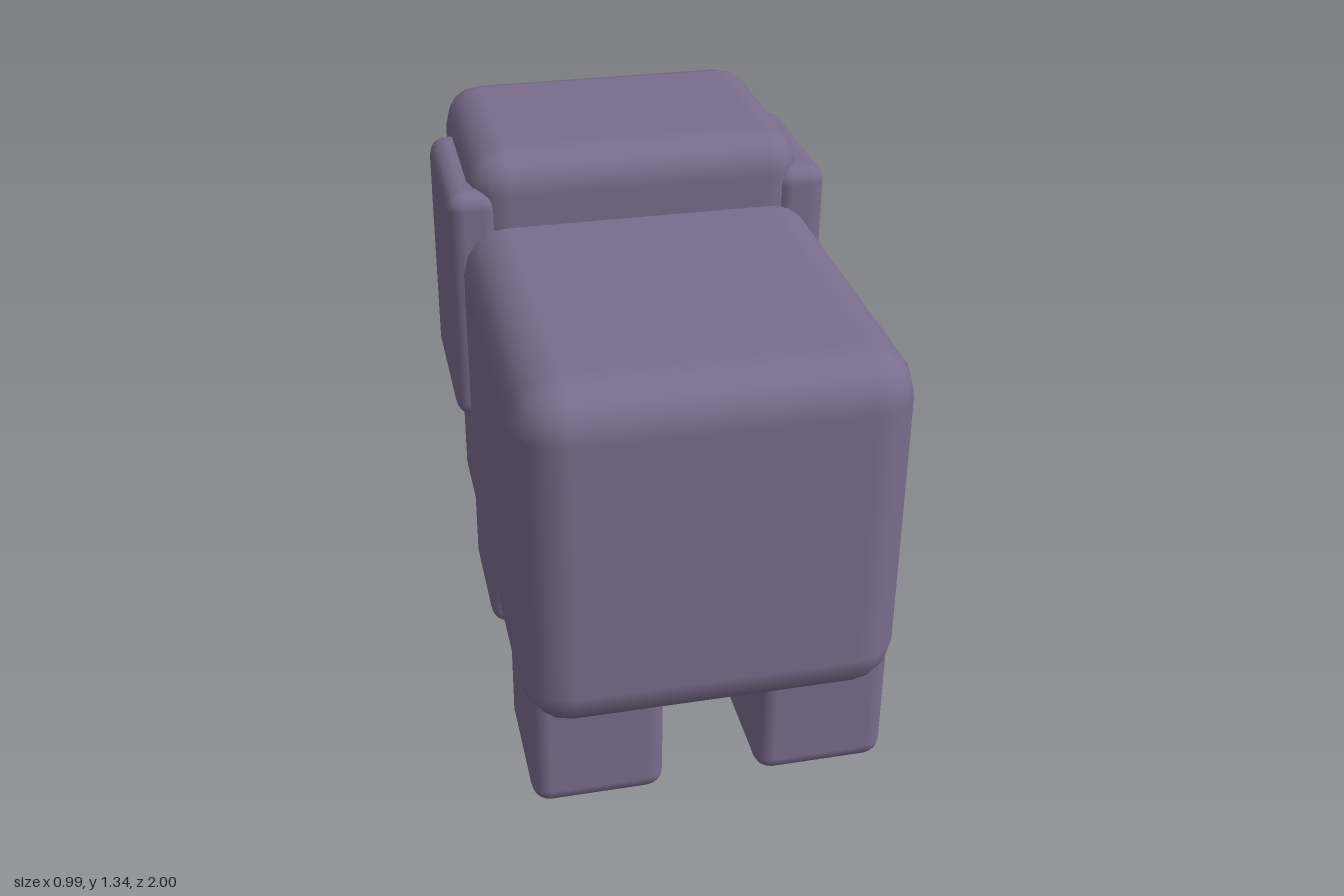
import * as THREE from 'three';
import { RoundedBoxGeometry } from 'three/addons/geometries/RoundedBoxGeometry.js';

export function createModel() {
  const model = new THREE.Group();
  model.name = 'blockElephant';

  const material = (name, color) => {
    const m = new THREE.MeshStandardMaterial({ color });
    m.name = name;
    return m;
  };
  const hide = material('purple hide', 0x7a6d8d);
  const ivory = material('ivory', 0xd6ccab);
  const nail = material('pale nail', 0xb3a8b3);

  const add = (name, geometry, mat) => {
    const mesh = new THREE.Mesh(geometry, mat);
    mesh.name = name;
    model.add(mesh);
    return mesh;
  };

  // Rounded block given by its min and max corners
  const block = (name, min, max, radius, mat = hide) => {
    const size = max.map((v, i) => v - min[i]);
    const mesh = add(name, new RoundedBoxGeometry(...size, 2, radius), mat);
    mesh.position.set(...max.map((v, i) => (v + min[i]) / 2));
    return mesh;
  };

  // Faceted rod between two points
  const rod = (name, from, to, r0, r1, mat) => {
    const a = new THREE.Vector3(...from);
    const b = new THREE.Vector3(...to);
    const dir = b.clone().sub(a);
    const geometry = new THREE.CylinderGeometry(r1, r0, dir.length(), 10).toNonIndexed();
    geometry.computeVertexNormals();
    const mesh = add(name, geometry, mat);
    mesh.position.copy(a).add(b).multiplyScalar(0.5);
    mesh.quaternion.setFromUnitVectors(new THREE.Vector3(0, 1, 0), dir.normalize());
    return mesh;
  };

  // Body and head (the animal looks towards -z)
  block('body', [-0.46, 0.237, -0.2], [0.46, 1.155, 1.0], 0.12);
  block('head', [-0.435, 0.515, -0.52], [0.435, 1.34, 0.115], 0.1);

  // Two-part trunk
  rod('upperTrunk', [0, 0.878, -0.5], [0, 0.422, -0.66], 0.127, 0.127, hide);
  rod('lowerTrunk', [0, 0.408, -0.66], [0, 0.214, -0.944], 0.105, 0.105, hide);

  for (const s of [-1, 1]) {
    const side = s > 0 ? 'left' : 'right';

    // Ears
    const earX = [s * 0.36, s * 0.495].sort((p, q) => p - q);
    block(side + 'Ear', [earX[0], 0.605, -0.34], [earX[1], 1.25, 0.115], 0.045);

    // Eyes
    const eye = add(side + 'Eye', new THREE.SphereGeometry(1, 12, 8), hide);
    eye.scale.set(0.044, 0.052, 0.035);
    eye.position.set(s * 0.302, 1.018, -0.52);

    // Tusks
    rod(side + 'Tusk', [s * 0.235, 0.655, -0.4], [s * 0.348, 0.873, -0.797], 0.054, 0.054, ivory);

    // Legs with toenails
    for (const [where, z] of [['Front', 0.055], ['Back', 0.773]]) {
      const x = s * 0.278;
      block(side + where + 'Leg', [x - 0.163, 0, z - 0.184], [x + 0.163, 0.35, z + 0.184], 0.045);
      block(side + where + 'Toenail', [x - 0.135, 0.022, z - 0.211], [x + 0.135, 0.112, z - 0.165], 0.01, nail);
    }
  }
  return model;
}
